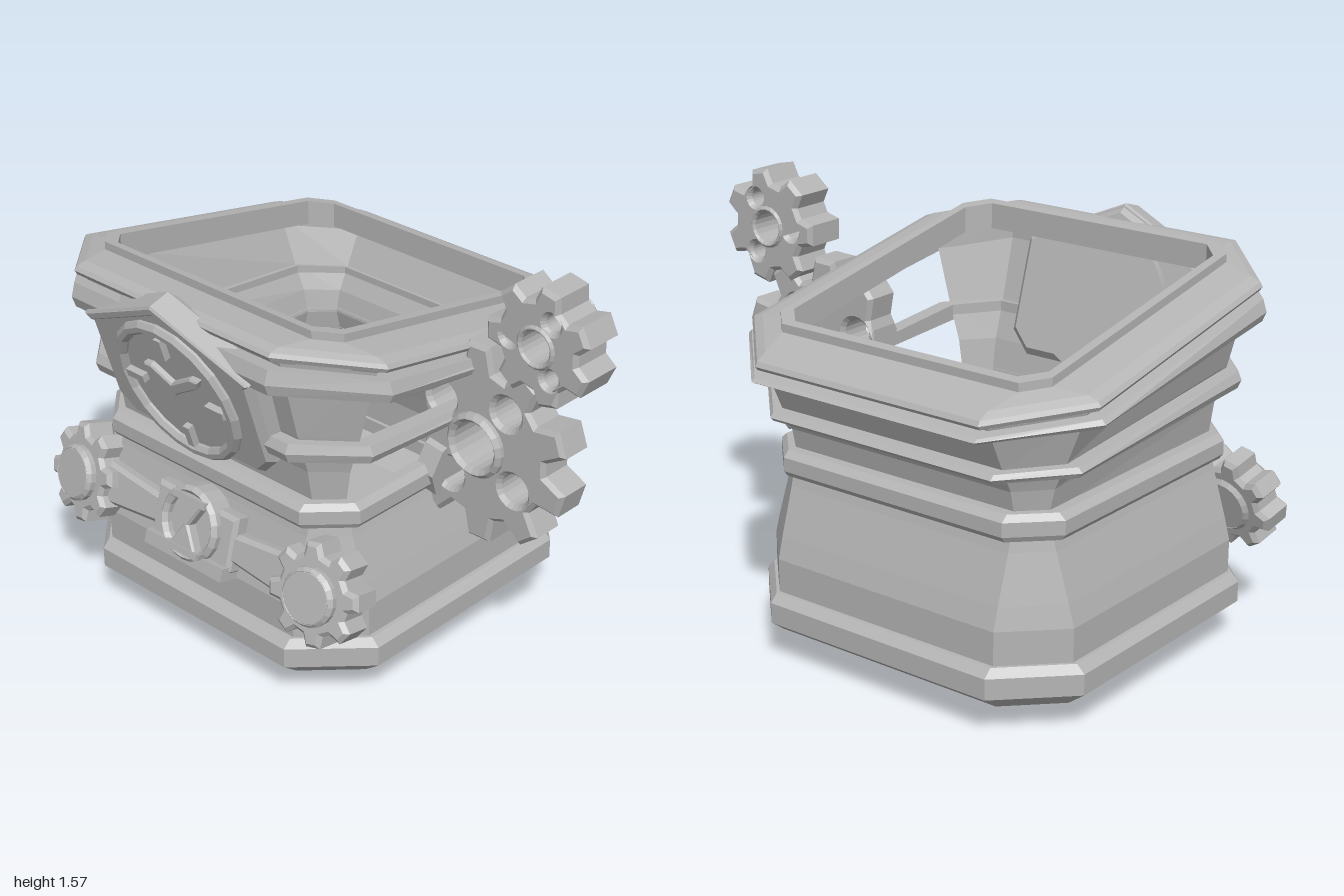
import * as THREE from 'three';

const CX = -0.24, CZ = -0.03;

export function createModel() {
  const root = new THREE.Group();
  const stone = new THREE.MeshStandardMaterial({ color: 0xb4b4b4, side: THREE.DoubleSide });
  stone.name = 'grey';

  const add = (parent, name, geo, x = 0, y = 0, z = 0) => {
    const m = new THREE.Mesh(geo, stone);
    m.name = name;
    m.position.set(x, y, z);
    parent.add(m);
    return m;
  };
  const group = (name, x, y, z) => {
    const g = new THREE.Group();
    g.name = name;
    g.position.set(x, y, z);
    root.add(g);
    return g;
  };

  // Chamfered-square loft. Section: [half width, height, tilt, half flat side]
  const corner = ([h, y, s = 0, f = 0.47], i) => {
    const p = [[h, f], [h, -f], [f, -h], [-f, -h], [-h, -f], [-h, f], [-f, h], [f, h]][i % 8];
    return [p[0], y + s * p[1], p[1]];
  };
  const loft = (name, sections, skip = -1) => {
    const v = [];
    for (let k = 0; k + 1 < sections.length; k++) {
      for (let i = 0; i < 8; i++) {
        if (i === skip) continue;
        const a = corner(sections[k], i), b = corner(sections[k], i + 1);
        const c = corner(sections[k + 1], i + 1), d = corner(sections[k + 1], i);
        v.push(...a, ...b, ...c, ...a, ...c, ...d);
      }
    }
    const g = new THREE.BufferGeometry();
    g.setAttribute('position', new THREE.Float32BufferAttribute(v, 3));
    g.computeVertexNormals();
    return add(root, name, g, CX, 0, CZ);
  };

  // Base, flared lower body and waist band
  loft('base', [[0, 0.085, 0, 0], [0.6, 0.085], [0.64, 0.1], [0.7, 0.145], [0.7, 0.22], [0.67, 0.25], [0.64, 0.25]]);
  loft('lowerBody', [[0.655, 0.24], [0.655, 0.37], [0.633, 0.45], [0.605, 0.54], [0.58, 0.62], [0.565, 0.68], [0.55, 0.745]]);
  loft('waistBand', [[0.565, 0.665], [0.6, 0.665], [0.615, 0.685], [0.615, 0.735], [0.59, 0.757], [0.55, 0.757]]);

  // Upper walls, open on the gear side, crossed by two tilted rails
  loft('upperWalls', [[0.55, 0.74], [0.57, 0.85, 0.04], [0.615, 0.97, 0.09], [0.69, 1.2, 0.184]], 0);
  loft('lowerRail', [[0.6, 0.92, 0.05], [0.66, 0.915, 0.05], [0.675, 0.94, 0.065], [0.66, 0.965, 0.08], [0.6, 0.965, 0.08], [0.6, 0.92, 0.05]]);
  loft('upperRail', [[0.67, 1.14, 0.13], [0.745, 1.135, 0.13], [0.76, 1.16, 0.15], [0.745, 1.19, 0.18], [0.67, 1.19, 0.18], [0.67, 1.14, 0.13]]);

  // Tilted top rim with raised inner lip
  const T = 0.184;
  loft('rim', [[0.54, 1.21, T], [0.7, 1.21, T], [0.73, 1.215, T], [0.74, 1.23, T], [0.73, 1.245, T], [0.69, 1.26, T],
    [0.575, 1.275, T, 0.5], [0.575, 1.305, T, 0.5], [0.54, 1.305, T], [0.54, 1.21, T]]);

  // Extruded shape centred in depth, with a small bevel
  const slab = (shape, depth, bevel = 0.015) => {
    const g = new THREE.ExtrudeGeometry(shape, {
      depth: depth - 2 * bevel, bevelEnabled: bevel > 0, bevelSize: bevel,
      bevelThickness: bevel, bevelOffset: -bevel, bevelSegments: 1, curveSegments: 10,
    });
    return g.translate(0, 0, -depth / 2 + bevel);
  };
  const poly = (pts) => new THREE.Shape(pts.map((p) => new THREE.Vector2(...p)));
  const hole = (s, x, y, r) => s.holes.push(new THREE.Path().absarc(x, y, r, 0, Math.PI * 2, true));
  const ring = (ro, ri) => {
    const s = new THREE.Shape().absarc(0, 0, ro, 0, Math.PI * 2);
    hole(s, 0, 0, ri);
    return s;
  };

  // Toes under the front edge
  const toeShape = poly([[0.3, 0.09], [0.3, 0.07], [0.35, 0], [0.385, 0], [0.45, 0.05], [0.47, 0.09]]);
  const toe = slab(toeShape, 0.2, 0.025).rotateY(-Math.PI / 2);
  for (let i = 0; i < 4; i++) add(root, 'toe', toe, -0.64 + i * 0.264, 0, 0);

  // Gear outline: trapezoid teeth around a root circle
  const gearShape = (teeth, ro, rr, start, bore, minX = -9) => {
    const pts = [], step = Math.PI * 2 / teeth;
    for (let i = 0; i < teeth; i++) {
      for (const [t, r] of [[-0.36, rr], [-0.2, ro * 0.98], [0.2, ro * 0.98], [0.36, rr]]) {
        const a = start + (i + t) * step;
        pts.push([Math.max(minX, r * Math.cos(a)), r * Math.sin(a)]);
      }
    }
    const s = poly(pts);
    hole(s, 0, 0, bore);
    return s;
  };

  // Large side gear with four lightening holes and a hub
  const big = group('largeGear', 0.54, 0.89, -0.03);
  const bigShape = gearShape(10, 0.385, 0.29, 1.6, 0.09, -0.24);
  for (let i = 0; i < 4; i++) {
    const a = 0.93 + i * Math.PI / 2;
    hole(bigShape, 0.2 * Math.cos(a), 0.2 * Math.sin(a), 0.058);
  }
  add(big, 'gearWheel', slab(bigShape, 0.14));
  add(big, 'gearHub', slab(ring(0.12, 0.088), 0.2));
  const bracket = add(root, 'gearBracket', new THREE.CylinderGeometry(0.13, 0.13, 0.08, 8).toNonIndexed(), 0.355, 0.73, -0.03);
  bracket.geometry.computeVertexNormals();
  bracket.rotation.set(0, 0, Math.PI / 2 - 0.15);

  // Upper side gear with three small holes
  const top = group('upperGear', 0.785, 1.35, -0.03);
  const topShape = gearShape(7, 0.22, 0.165, 1.36, 0.06);
  for (const a of [1.05, -1.05, Math.PI]) hole(topShape, 0.115 * Math.cos(a), 0.115 * Math.sin(a), 0.03);
  add(top, 'gearWheel', slab(topShape, 0.17));
  add(top, 'gearHub', slab(ring(0.078, 0.058), 0.19, 0.008));

  // Clock, leaning forward on the front wall
  const clock = group('clock', CX, 1.09, 0.58);
  clock.rotation.x = 0.29;
  add(clock, 'clockPlate', slab(poly([[-0.39, -0.17], [-0.31, -0.25], [0.31, -0.25], [0.39, -0.17],
    [0.39, 0.19], [0, 0.36], [-0.39, 0.19]]), 0.11, 0.025), 0, 0, 0.045);
  add(clock, 'gable', slab(poly([[-0.4, 0.19], [-0.37, 0.165], [0, 0.33], [0.37, 0.165], [0.4, 0.19], [0, 0.37]]), 0.1, 0.008), 0, 0, 0.06);
  const face = new THREE.CylinderGeometry(0.27, 0.27, 0.14, 32).rotateX(Math.PI / 2);
  add(clock, 'clockFace', face, 0, 0, 0.03);
  add(clock, 'clockRing', slab(ring(0.29, 0.24), 0.09), 0, 0, 0.08);
  for (let i = 0; i < 4; i++) {
    const a = i * Math.PI / 2;
    const tick = add(clock, 'hourMark', new THREE.BoxGeometry(0.085, 0.03, 0.03),
      0.195 * Math.cos(a), 0.195 * Math.sin(a), 0.11);
    tick.rotation.z = a;
  }
  const hand = (name, len, angle) => {
    const m = add(clock, name, slab(poly([[-0.02, -0.022], [len * 0.8, -0.022], [len, 0], [len * 0.8, 0.022], [-0.02, 0.022]]), 0.03, 0.006), 0, 0.02, 0.11);
    m.rotation.z = angle;
  };
  hand('minuteHand', 0.18, 0.55);
  hand('hourHand', 0.14, 2.6);

  // Front axle, leaning back with the lower wall
  const axle = group('axle', CX, 0.475, 0.595);
  axle.rotation.x = -0.27;
  add(axle, 'axleBar', slab(poly([[-0.47, -0.075], [-0.2, -0.05], [0.2, -0.05], [0.47, -0.075],
    [0.47, 0.085], [0.2, 0.06], [-0.2, 0.06], [-0.47, 0.085]]), 0.09), 0, 0, 0);
  add(axle, 'badgePlate', slab(poly([[-0.2, -0.08], [-0.16, -0.13], [0.16, -0.13], [0.2, -0.08],
    [0.2, 0.12], [-0.2, 0.12]]), 0.09), 0, 0, 0.01);
  add(axle, 'badgeFoot', new THREE.BoxGeometry(0.39, 0.05, 0.1), 0, -0.09, 0.03);
  add(axle, 'badgeRing', slab(ring(0.14, 0.108), 0.11), 0, 0.03, 0.035);
  add(axle, 'hourglass', slab(poly([[-0.065, -0.09], [0.065, -0.09], [0.012, 0], [0.065, 0.09],
    [-0.065, 0.09], [-0.012, 0]]), 0.05, 0.008), 0, 0.03, 0.07);
  for (const y of [-0.065, 0.125]) add(axle, 'hourglassCap', new THREE.BoxGeometry(0.16, 0.025, 0.07), 0, y, 0.065);

  // Small gears at both ends of the axle
  for (const side of [-1, 1]) {
    const g = group('axleGear', CX + side * 0.585, 0.475, 0.595);
    g.rotation.set(-0.27, side * 0.12, 0);
    add(g, 'gearWheel', slab(gearShape(8, 0.19, 0.145, 0.2, 0.08), 0.13));
    add(g, 'gearHub', slab(ring(0.105, 0.078), 0.18), 0, 0, 0.01);
  }
  return root;
}
